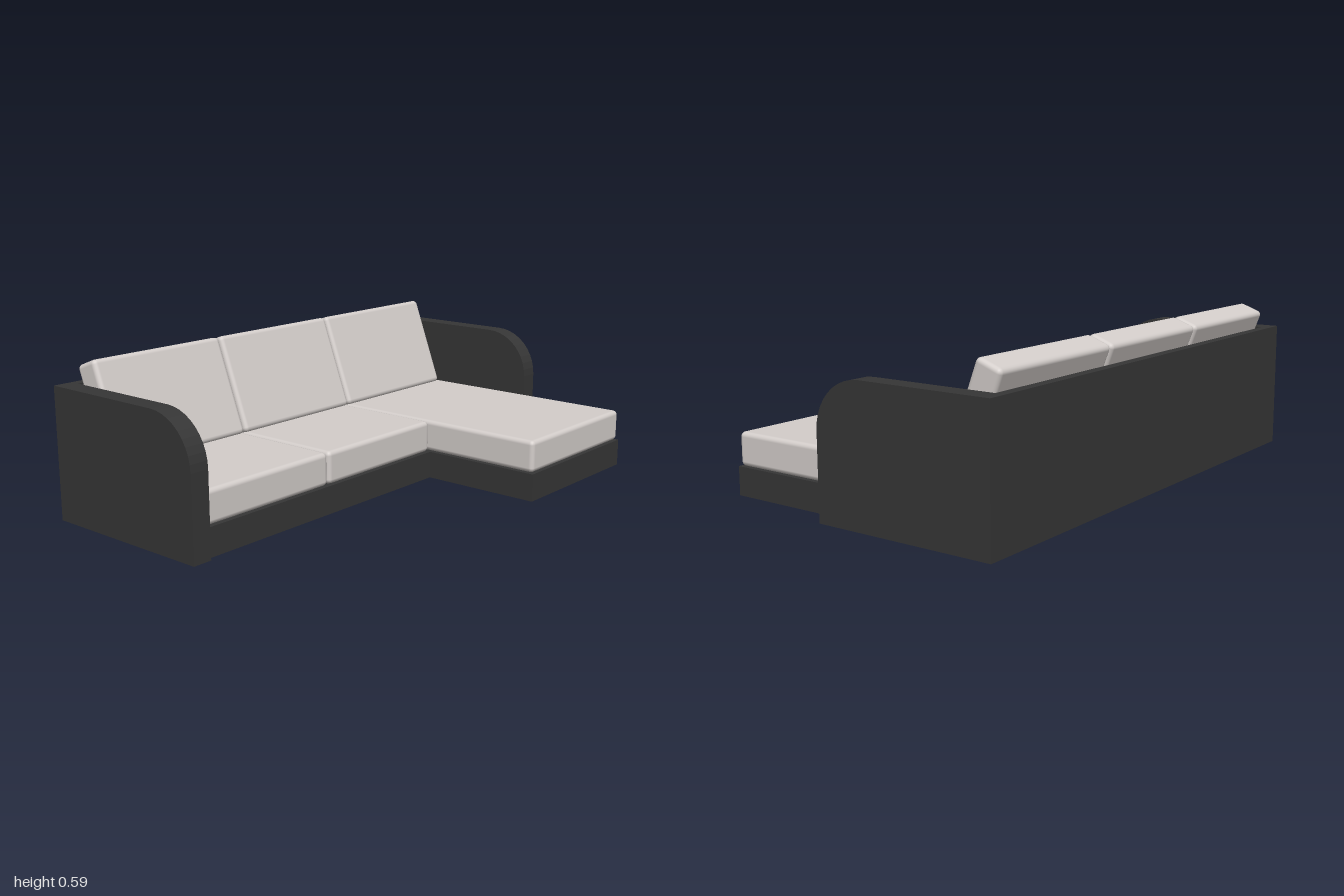
import * as THREE from 'three';
import { RoundedBoxGeometry } from 'three/addons/geometries/RoundedBoxGeometry.js';

export function createModel() {
  const sofa = new THREE.Group();
  sofa.name = 'cornerSofa';

  const frameMat = new THREE.MeshStandardMaterial({ color: 0x363636 });
  frameMat.name = 'charcoal upholstery';
  const cushionMat = new THREE.MeshStandardMaterial({ color: 0xd4cecb });
  cushionMat.name = 'pale grey fabric';

  const add = (name, geometry, material) => {
    const mesh = new THREE.Mesh(geometry, material);
    mesh.name = name;
    sofa.add(mesh);
    return mesh;
  };

  // Box or rounded cushion given by its limits on each axis
  const block = (name, [x0, x1], [y0, y1], [z0, z1], material, radius = 0) => {
    const size = [x1 - x0, y1 - y0, z1 - z0];
    const geometry = radius
      ? new RoundedBoxGeometry(...size, 2, radius)
      : new THREE.BoxGeometry(...size);
    const mesh = add(name, geometry, material);
    mesh.position.set((x0 + x1) / 2, (y0 + y1) / 2, (z0 + z1) / 2);
    return mesh;
  };

  // Arms: side profile with a rounded front top corner
  const profile = new THREE.Shape();
  profile.moveTo(-0.59, 0);
  profile.lineTo(0.118, 0);
  profile.lineTo(0.118, 0.313);
  profile.absellipse(-0.07, 0.313, 0.188, 0.185, 0, Math.PI / 2, false, 0);
  profile.lineTo(-0.59, 0.498);
  profile.closePath();
  const armWidth = 0.075;
  const armGeometry = new THREE.ExtrudeGeometry(profile, {
    depth: armWidth, bevelEnabled: false, curveSegments: 5,
  });
  armGeometry.rotateY(-Math.PI / 2);
  add('leftArm', armGeometry, frameMat).position.x = 1;
  add('rightArm', armGeometry, frameMat).position.x = -1 + armWidth;

  // Back panel and low base with the long seat on the left
  block('backPanel', [-0.925, 0.925], [0, 0.498], [-0.59, -0.552], frameMat);
  block('base', [-0.925, 0.27], [0.003, 0.11], [-0.552, 0.106], frameMat);
  block('chaiseBase', [0.27, 0.925], [0.003, 0.11], [-0.552, 0.59], frameMat);

  // Seat cushions
  const seats = [
    ['rightSeat', [-0.925, -0.331], 0.1],
    ['middleSeat', [-0.327, 0.27], 0.1],
    ['chaiseSeat', [0.274, 0.922], 0.585],
  ];
  for (const [name, xs, front] of seats) {
    block(name, xs, [0.111, 0.236], [-0.55, front], cushionMat, 0.018);
  }

  // Leaning back cushions
  const backs = [
    ['rightBackCushion', [-0.925, -0.333]],
    ['middleBackCushion', [-0.328, 0.27]],
    ['leftBackCushion', [0.274, 0.9]],
  ];
  for (const [name, xs] of backs) {
    const cushion = block(name, xs, [0.208, 0.592], [-0.492, -0.388], cushionMat, 0.018);
    cushion.rotation.x = -0.36;
  }

  return sofa;
}
